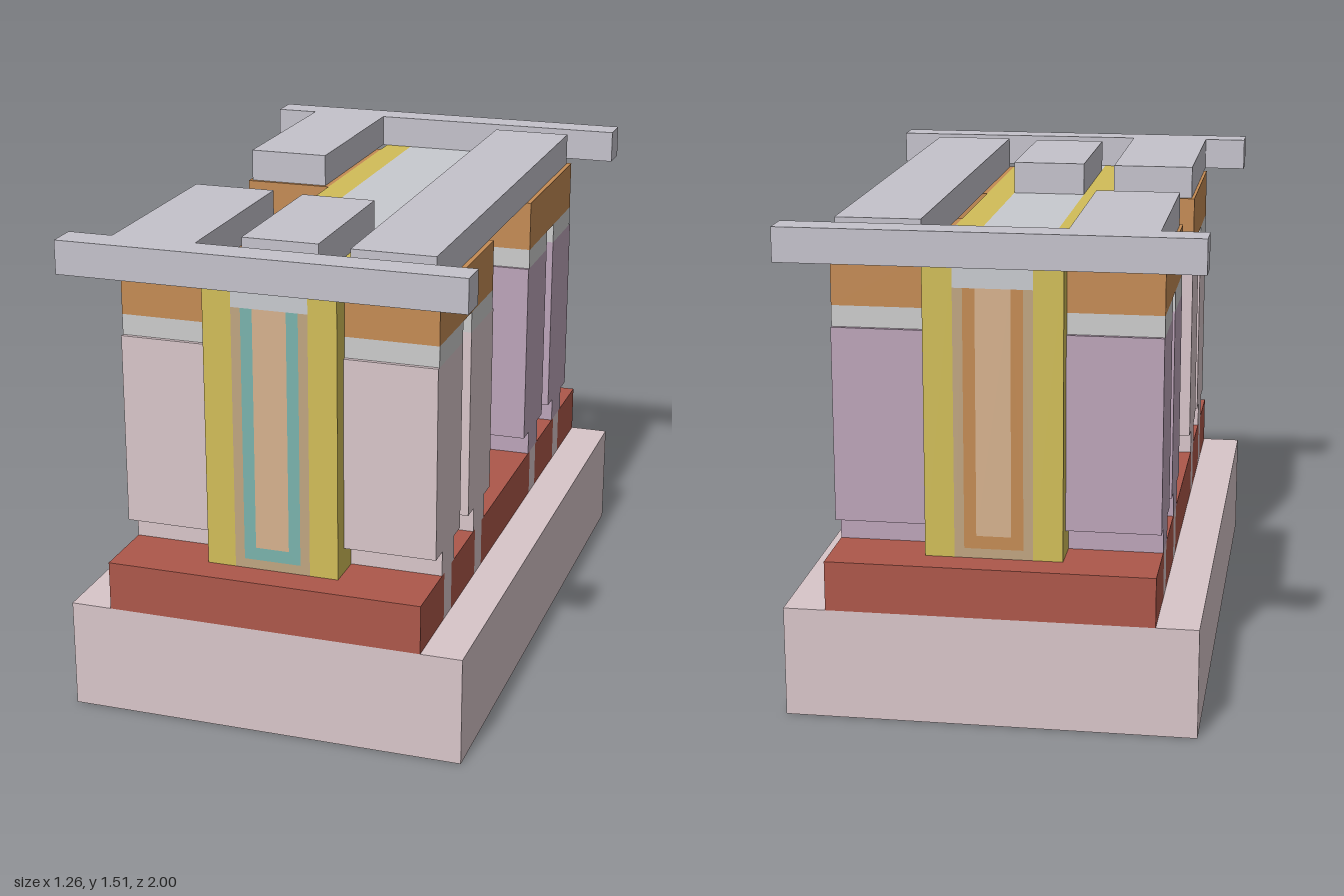
import * as THREE from 'three';

const material = (color) => new THREE.MeshStandardMaterial({ color, flatShading: true });
const MAT = {
  pink: material(0xd8c5c9), red: material(0xad574a), yellow: material(0xd1bd58),
  orange: material(0xc48b54), metal: material(0xc4c2cb), purple: material(0xbca4b9),
  cap: material(0xd0d0d4), fill: material(0xc8cacf), teal: material(0x7ab3ac),
  tan: material(0xd6b18e), liner: material(0xc0a581),
};

export function createModel() {
  const model = new THREE.Group();

  // Box from its low and high limits on each axis
  function box(name, mat, x0, x1, y0, y1, z0, z1) {
    const mesh = new THREE.Mesh(new THREE.BoxGeometry(x1 - x0, y1 - y0, z1 - z0), mat);
    mesh.position.set((x0 + x1) / 2, (y0 + y1) / 2, (z0 + z1) / 2);
    mesh.name = name;
    model.add(mesh);
    return mesh;
  }

  // U-shaped layer extruded along z: outer half width a, inner half width b
  function trough(name, mat, a, b, yOut, yIn, top, z0, z1) {
    const shape = new THREE.Shape([
      [-a, yOut], [a, yOut], [a, top], [b, top], [b, yIn], [-b, yIn], [-b, top], [-a, top],
    ].map(([x, y]) => new THREE.Vector2(x, y)));
    const geometry = new THREE.ExtrudeGeometry(shape, { depth: z1 - z0, bevelEnabled: false });
    geometry.translate(0, 0, z0);
    const mesh = new THREE.Mesh(geometry, mat);
    mesh.name = name;
    model.add(mesh);
  }

  // Base slab
  box('substrate', MAT.pink, -0.63, 0.63, 0, 0.345, -1, 1);

  // Insulating layer, interrupted by the four fins
  const fins = [[-0.75, -0.67], [-0.4, -0.32], [0.32, 0.4], [0.67, 0.75]];
  let z = -1;
  for (const [z0, z1] of fins) {
    box('isolation', MAT.red, -0.5, 0.5, 0.345, 0.5, z, z0);
    box('fin', MAT.pink, -0.5, 0.5, 0.345, 0.5, z0, z1);
    z = z1;
  }
  box('isolation', MAT.red, -0.5, 0.5, 0.345, 0.5, z, 1);

  // Gate: side spacers with nested layers between them
  for (const s of [-1, 1]) {
    const [x0, x1] = s > 0 ? [0.12, 0.21] : [-0.21, -0.12];
    box('gateSpacer', MAT.yellow, x0, x1, 0.5, 1.41, -0.9, 0.9);
  }
  trough('gateLiner', MAT.liner, 0.12, 0.09, 0.5, 0.53, 1.33, -0.9, 0.9);
  trough('frontGateLayer', MAT.teal, 0.09, 0.053, 0.53, 0.57, 1.33, 0, 0.9);
  trough('backGateLayer', MAT.orange, 0.09, 0.053, 0.53, 0.57, 1.33, -0.9, 0);
  box('gateCore', MAT.tan, -0.053, 0.053, 0.57, 1.33, -0.9, 0.9);
  box('gateCap', MAT.fill, -0.12, 0.12, 1.33, 1.41, -0.9, 0.9);

  // Terminal pillars, caps and contacts, on both sides of the gate, front and back
  for (const sx of [-1, 1]) {
    for (const sz of [-1, 1]) {
      const mat = sz > 0 ? MAT.pink : MAT.purple;
      const part = (name, m, y0, y1, a, b) => box(name, m,
        sx > 0 ? 0.21 : -0.5, sx > 0 ? 0.5 : -0.21, y0, y1,
        Math.min(sz * a, sz * b), Math.max(sz * a, sz * b));
      part('pillarFoot', mat, 0.5, 0.58, 0.295, 0.42);
      part('pillarFoot', mat, 0.5, 0.58, 0.645, 0.775);
      part('pillar', mat, 0.58, 1.185, 0.228, 0.485);
      part('pillar', mat, 0.58, 1.185, 0.58, 0.843);
      part('pillarCap', MAT.cap, 1.185, 1.25, 0.238, 0.485);
      part('pillarCap', MAT.cap, 1.185, 1.25, 0.58, 0.83);
      part('contact', MAT.orange, 1.25, 1.41, 0.238, 0.83);
    }
  }

  // Top metal: end rails with their arms, the long output strip, the gate pad
  const metal = (name, x0, x1, z0, z1) => box(name, MAT.metal, x0, x1, 1.41, 1.515, z0, z1);
  metal('frontRail', -0.63, 0.63, 0.9, 1);
  metal('backRail', -0.63, 0.63, -1, -0.9);
  metal('frontRailArm', -0.49, -0.225, 0.25, 0.9);
  metal('backRailArm', -0.49, -0.225, -0.9, -0.25);
  metal('outputStrip', 0.225, 0.485, -0.82, 0.82);
  metal('gatePad', -0.12, 0.12, 0.27, 0.8);

  return model;
}
